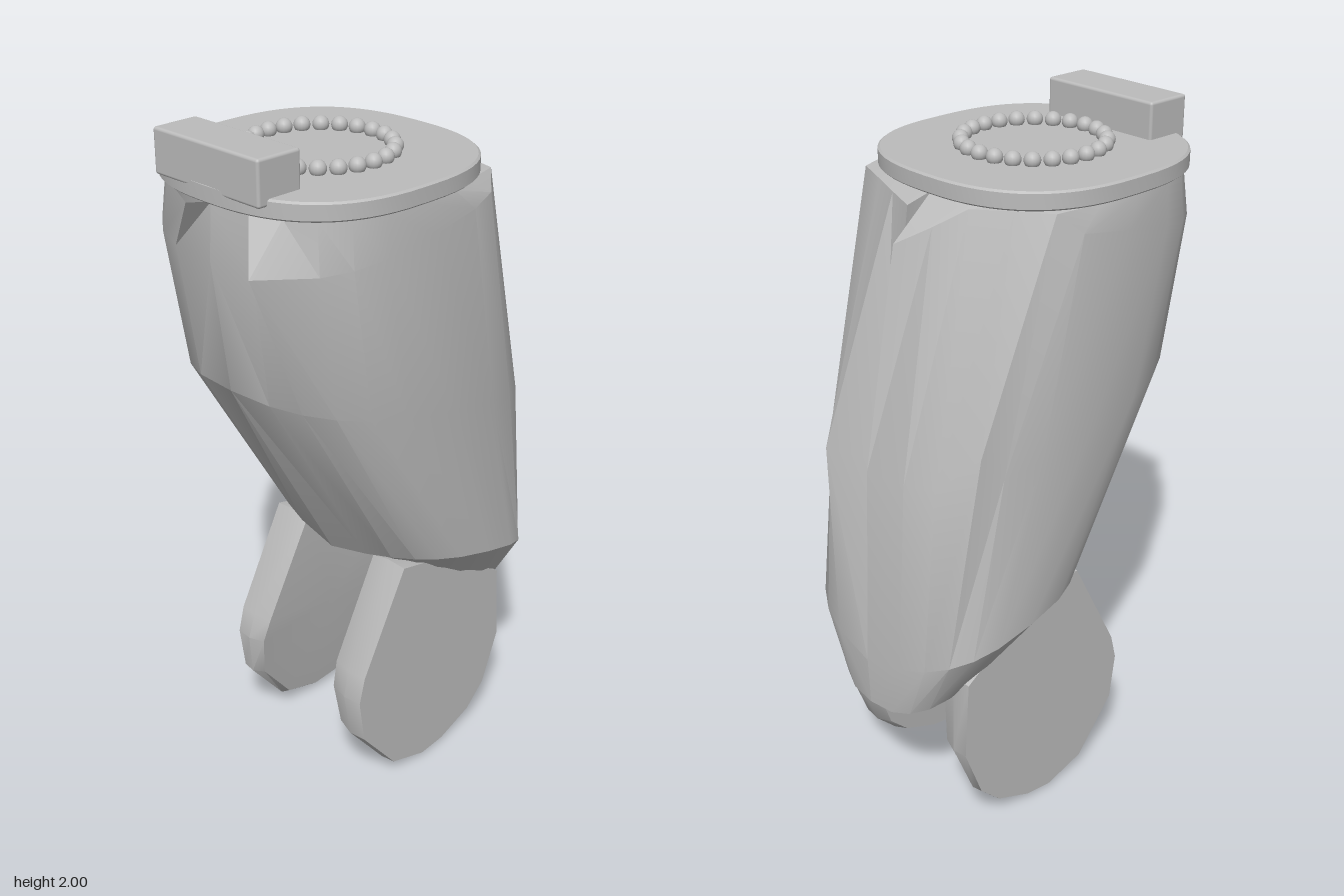
import * as THREE from 'three';
import { toCreasedNormals } from 'three/addons/utils/BufferGeometryUtils.js';
import { RoundedBoxGeometry } from 'three/addons/geometries/RoundedBoxGeometry.js';

const grey = new THREE.MeshStandardMaterial({ color: 0xbcbcbc, side: THREE.DoubleSide });
grey.name = 'plain grey';

const power = (v, n) => Math.sign(v) * Math.pow(Math.abs(v), 2 / n);

// Joins rows of points into a skin; flip reverses the facing
function skin(rows, flip, crease) {
  const index = [];
  const n = rows[0].length;
  for (let i = 0; i < rows.length - 1; i++) {
    for (let j = 0; j < n - 1; j++) {
      const a = i * n + j, b = a + 1, c = a + n, d = c + 1;
      if (flip) index.push(a, c, b, b, c, d);
      else index.push(a, b, c, b, d, c);
    }
  }
  const geo = new THREE.BufferGeometry();
  geo.setAttribute('position', new THREE.Float32BufferAttribute(rows.flat(2), 3));
  geo.setIndex(index);
  return toCreasedNormals(geo, crease);
}

// Half of a tilted rounded ring, from its right end to its left end
function halfRing([xl, yl, xr, yr, w, n, arch], side) {
  const row = [];
  for (let j = 0; j <= 12; j++) {
    const t = (j / 12) * Math.PI;
    const c = power(Math.cos(t), n), s = power(Math.sin(t), n);
    const k = (1 + c) / 2;
    row.push([xl + (xr - xl) * k, yl + (yr - yl) * k + arch * s, side * w * s]);
  }
  return row;
}

function bodyHalf(side) {
  // left x, left y, right x, right y, half width, squareness, arch
  const rows = [
    [-0.47, 1.85, 0.25, 1.85, 0.372, 2.5, 0],
    [-0.48, 1.7, 0.33, 1.83, 0.38, 2.8, 0],
    [-0.43, 1.33, 0.495, 1.14, 0.368, 2.7, 0],
    [-0.07, 0.7, 0.525, 0.55, 0.35, 2.8, 0.08],
    [-0.04, 0.72, 0.52, 0.405, 0.235, 2.6, 0],
    [-0.03, 0.73, 0.51, 0.415, 0, 3, 0],
  ].map((s) => halfRing(s, side));
  if (side > 0) {
    // pointed shoulder corner, flat upper panel and recessed seam
    rows[1][10] = [-0.53, 1.72, 0.2];
    rows[1][1] = [0.297, 1.835, 0.097];
    rows[1][2] = [0.263, 1.84, 0.193];
    rows[1][3] = [0.23, 1.845, 0.29];
    rows[2][0] = [0.437, 1.14, 0];
    rows[2][1] = [0.493, 1.14, 0.18];
  } else {
    // small top spike and chamfered upper corner
    rows[0][11] = [-0.515, 1.85, -0.04];
    rows[1][0] = [0.38, 1.74, 0];
    rows[1][1] = [0.32, 1.79, -0.08];
    rows[1][2] = [0.26, 1.84, -0.15];
    rows[1][3] = [0.2, 1.845, -0.25];
    rows[1][4] = [0.14, 1.845, -0.335];
    rows[2][3] = [0.375, 1.25, -0.315];
  }
  return skin(rows, side < 0, 0.4);
}

// Flattened lobe with a bevelled rim
function lobe(side, innerTop, innerBottom) {
  const outline = [
    [-0.04, 0.73], [-0.2, 0.42], [-0.22, 0.34], [-0.2, 0.2], [-0.07, 0.04], [0.06, 0.0], [0.15, 0.01],
    [0.27, 0.06], [0.34, 0.13], [0.4, 0.29], [0.385, 0.53], [0.28, 0.6], [0.1, 0.7],
  ];
  outline.push(outline[0]);
  const ring = (scale, depth) => outline.map(([x, y]) => {
    const py = 0.37 + (y - 0.37) * scale;
    return [0.09 + (x - 0.09) * scale, py, side * depth(y)];
  });
  const outer = () => 0.262;
  const inner = (y) => innerBottom + (innerTop - innerBottom) * Math.min(1, y / 0.45);
  const rows = [
    ring(0, outer), ring(0.985, outer), ring(1, (y) => (inner(y) + 0.262) / 2),
    ring(0.95, inner), ring(0, () => inner(0.37)),
  ];
  return skin(rows, side < 0, 0.5);
}

export function createModel() {
  const model = new THREE.Group();
  const add = (name, geo, x = 0, y = 0, z = 0) => {
    const mesh = new THREE.Mesh(geo, grey);
    mesh.name = name;
    mesh.position.set(x, y, z);
    model.add(mesh);
  };

  // Sloping shell in two halves
  add('frontShell', bodyHalf(1));
  add('rearShell', bodyHalf(-1));

  // Lower lobes
  add('frontLobe', lobe(1, 0.135, 0.17));
  add('rearLobe', lobe(-1, 0.145, 0.215));

  // Lid with a small bevel
  const points = [];
  for (let i = 0; i < 64; i++) {
    const t = (i / 64) * Math.PI * 2;
    points.push(new THREE.Vector2(0.376 * power(Math.cos(t), 2.65), 0.374 * power(Math.sin(t), 2.5)));
  }
  const lidGeo = new THREE.ExtrudeGeometry(new THREE.Shape(points), {
    depth: 0.04, bevelEnabled: true, bevelThickness: 0.005, bevelSize: 0.006, bevelSegments: 1,
  });
  lidGeo.rotateX(-Math.PI / 2);
  add('lid', toCreasedNormals(lidGeo, 0.5), -0.105, 1.855, 0);

  // Raised bar on the lid
  add('bar', new RoundedBoxGeometry(0.137, 0.12, 0.384, 3, 0.008), -0.417, 1.94, 0);

  // Ring of beads
  const beads = new THREE.Group();
  beads.name = 'beadRing';
  const beadGeo = new THREE.SphereGeometry(0.0225, 16, 12);
  for (let i = 0; i < 24; i++) {
    const t = (i / 24) * Math.PI * 2;
    const bead = new THREE.Mesh(beadGeo, grey);
    bead.name = 'bead';
    bead.position.set(-0.105 + 0.193 * Math.cos(t), 1.913, 0.193 * Math.sin(t));
    beads.add(bead);
  }
  model.add(beads);

  return model;
}
